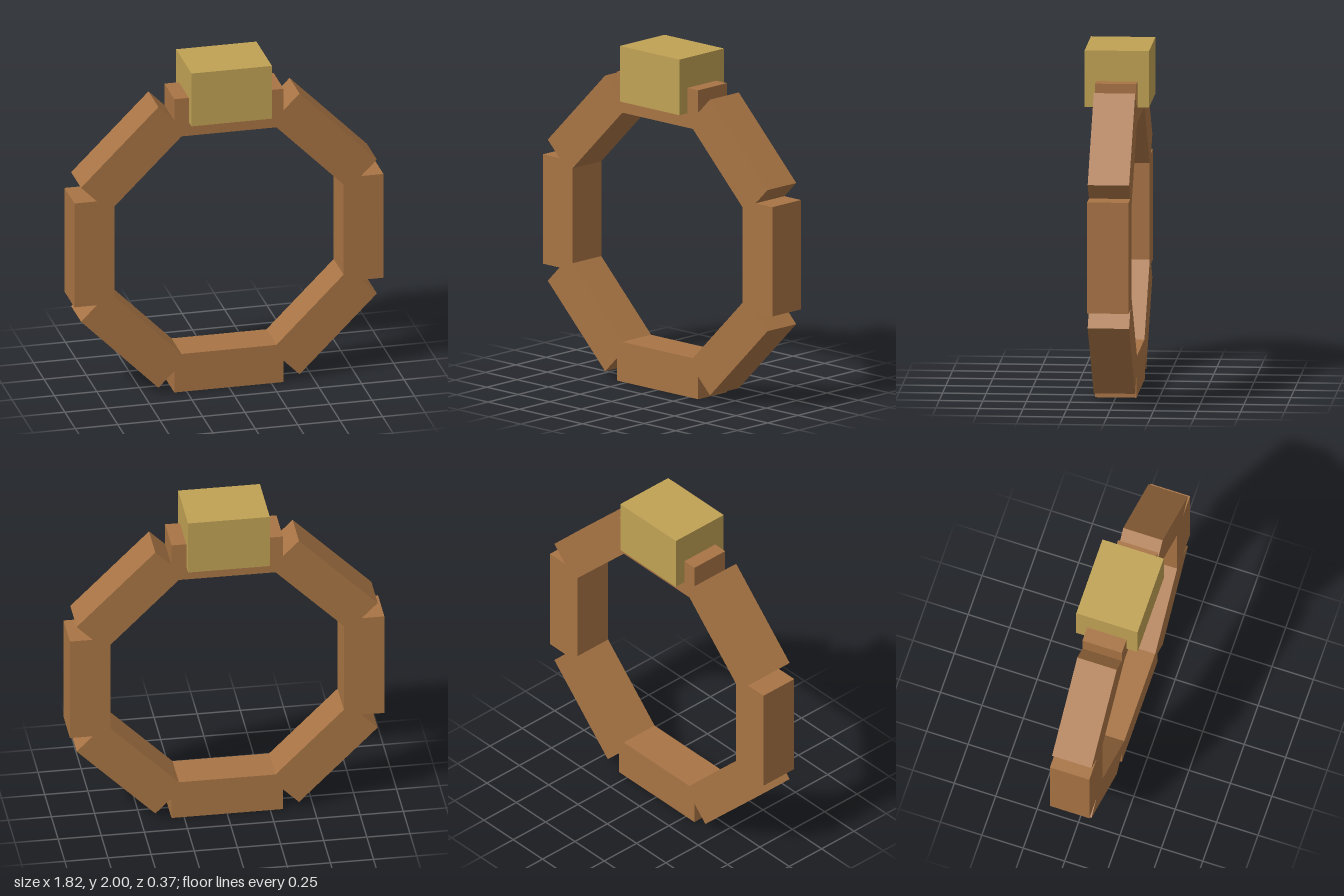
import * as THREE from 'three';

export function createModel() {
  const model = new THREE.Group();
  model.name = 'ring';

  const bandMaterial = new THREE.MeshStandardMaterial({ color: 0xa87444 });
  const stoneMaterial = new THREE.MeshStandardMaterial({ color: 0xc0a254 });

  // Band: eight equal blocks laid around an octagon
  const centreY = 0.911;
  const thickness = 0.235;
  const radius = 0.911 - thickness / 2;
  const block = new THREE.BoxGeometry(0.645, thickness, 0.238);
  const band = new THREE.Group();
  band.name = 'band';
  band.position.y = centreY;
  for (let i = 0; i < 8; i++) {
    const angle = (i * Math.PI) / 4;
    const segment = new THREE.Mesh(block, bandMaterial);
    segment.name = `bandSegment${i + 1}`;
    segment.position.set(-Math.sin(angle) * radius, Math.cos(angle) * radius, 0);
    segment.rotation.z = angle;
    band.add(segment);
  }
  model.add(band);

  // Stone: a block set over the top segment
  const stone = new THREE.Mesh(new THREE.BoxGeometry(0.474, 0.328, 0.37), stoneMaterial);
  stone.name = 'stone';
  stone.position.y = 2 - 0.328 / 2;
  model.add(stone);

  return model;
}
